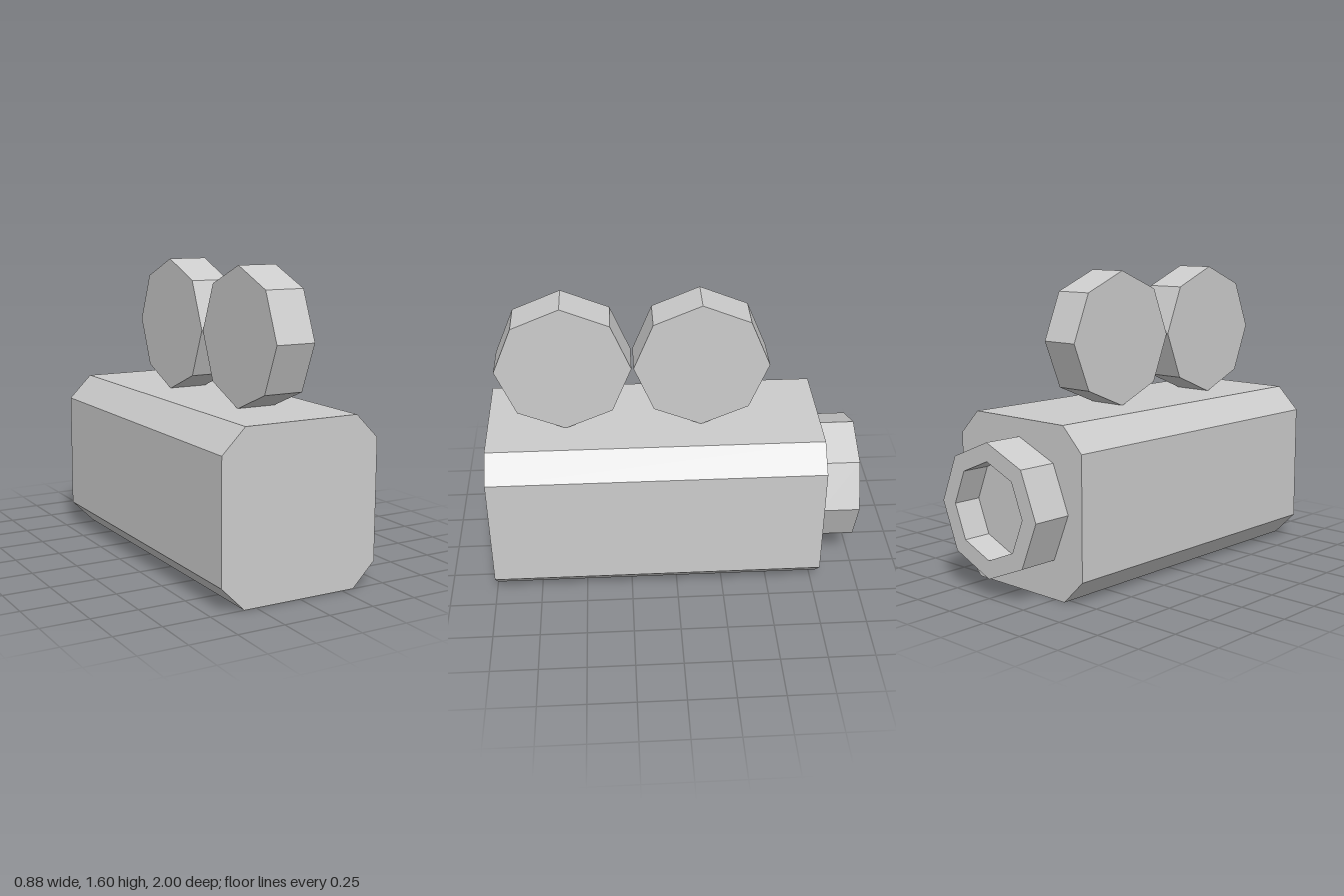
import * as THREE from 'three';

export function createModel() {
  const model = new THREE.Group();
  const material = new THREE.MeshStandardMaterial({ color: 0xcccccc, flatShading: true });
  const add = (name, geometry, x, y, z) => {
    const mesh = new THREE.Mesh(geometry, material);
    mesh.name = name;
    mesh.position.set(x, y, z);
    model.add(mesh);
  };

  // Camera body: a box with chamfered long edges
  const w = 0.442, h = 0.443, c = 0.126;
  const section = new THREE.Shape([
    [w - c, -h], [w, -h + c], [w, h - c], [w - c, h],
    [-w + c, h], [-w, h - c], [-w, -h + c], [-w + c, -h],
  ].map(([x, y]) => new THREE.Vector2(x, y)));
  add('body', new THREE.ExtrudeGeometry(section, { depth: 1.787, bevelEnabled: false }), 0, h, -0.787);

  // Two octagonal film reels on top
  const reel = new THREE.CylinderGeometry(0.357, 0.357, 0.215, 8).rotateZ(Math.PI / 2);
  add('frontReel', reel, -0.002, 1.24, 0.58);
  add('rearReel', reel, -0.002, 1.24, -0.145);

  // Octagonal lens barrel with a recessed face, pointing to -z
  const profile = [[0, 0], [0.346, 0], [0.346, 0.213], [0.25, 0.213], [0.25, 0.06], [0, 0.06]]
    .map(([r, y]) => new THREE.Vector2(r, y));
  add('lens', new THREE.LatheGeometry(profile, 8).rotateX(-Math.PI / 2), -0.002, 0.446, -0.787);

  return model;
}
